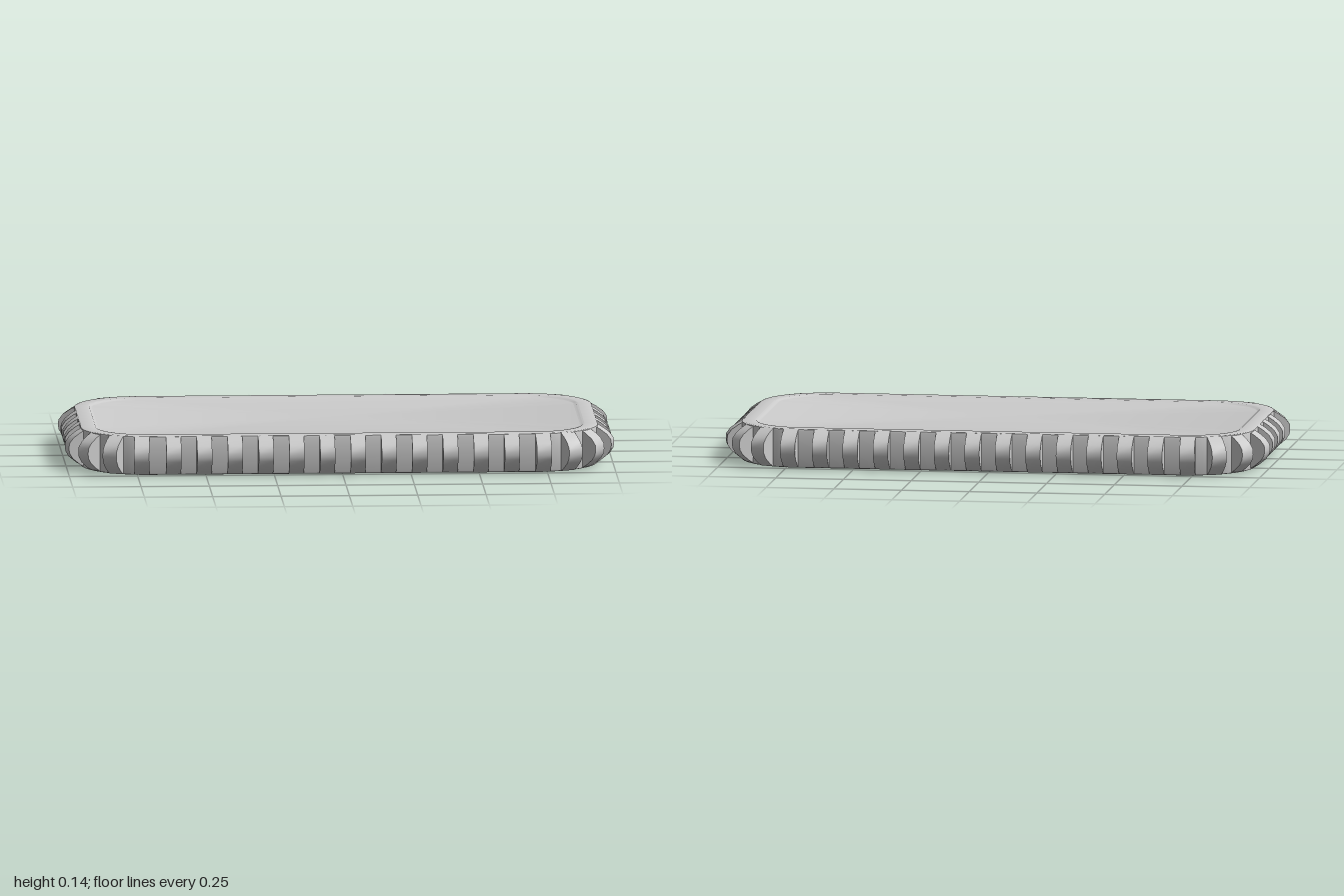
import * as THREE from 'three';
import { toCreasedNormals } from 'three/addons/utils/BufferGeometryUtils.js';

const HX = 0.947, HZ = 0.481, R = 0.24, H = 0.143;
const material = new THREE.MeshStandardMaterial({ color: 0xcccccc });

// Rounded rectangle in plan, shrunk evenly by inset
function outline(inset, steps = 14) {
  const points = [];
  const corners = [[1, 1], [-1, 1], [-1, -1], [1, -1]];
  corners.forEach(([sx, sz], c) => {
    for (let i = 0; i <= steps; i++) {
      const a = (c + i / steps) * Math.PI / 2;
      points.push([sx * (HX - R) + (R - inset) * Math.cos(a), sz * (HZ - R) + (R - inset) * Math.sin(a)]);
    }
  });
  return points;
}

// Skin over [inset, y] rings, closed by a centre point below and above
function plateGeometry(profile) {
  const rings = profile.map(([inset, y]) => outline(inset).map(([x, z]) => [x, y, z]));
  const n = rings[0].length, pos = [];
  const tri = (a, b, c) => pos.push(...a, ...b, ...c);
  const bottom = [0, profile[0][1], 0], top = [0, profile[profile.length - 1][1], 0];
  for (let i = 0; i < n; i++) {
    const j = (i + 1) % n;
    tri(bottom, rings[0][i], rings[0][j]);
    for (let k = 0; k < rings.length - 1; k++) {
      const lo = rings[k], hi = rings[k + 1];
      tri(lo[j], lo[i], hi[i]);
      tri(lo[j], hi[i], hi[j]);
    }
    const last = rings[rings.length - 1];
    tri(top, last[j], last[i]);
  }
  const geometry = new THREE.BufferGeometry();
  geometry.setAttribute('position', new THREE.Float32BufferAttribute(pos, 3));
  return toCreasedNormals(geometry, 0.6);
}

// Grip rib: bulging side profile, reaching `out` beyond the plate wall
function ribGeometry(out, width) {
  const s = new THREE.Shape();
  s.moveTo(-0.025, 0.004);
  s.lineTo(-0.004, 0.001);
  s.lineTo(out * 0.3, 0.014);
  s.lineTo(out * 0.75, 0.036);
  s.lineTo(out * 0.96, 0.056);
  s.lineTo(out, 0.072);
  s.lineTo(out * 0.97, 0.092);
  s.lineTo(out * 0.72, 0.112);
  s.lineTo(out * 0.3, 0.13);
  s.lineTo(-0.004, H - 0.001);
  s.lineTo(-0.025, H - 0.004);
  const g = new THREE.ExtrudeGeometry(s, { depth: width, bevelEnabled: false });
  g.translate(0, 0, -width / 2);
  return toCreasedNormals(g, 0.6);
}

export function createModel() {
  const group = new THREE.Group();

  // Plate with softened rims and a shallow recessed panel on both faces
  const half = [[0.066, 0.006], [0.061, 0.005], [0.056, 0.001], [0.05, 0], [0.008, 0], [0.002, 0.002], [0, 0.008]];
  const profile = [...half, ...half.map(([d, y]) => [d, H - y]).reverse()];
  const plate = new THREE.Mesh(plateGeometry(profile), material);
  plate.name = 'plate';
  group.add(plate);

  const ribs = new THREE.Group();
  ribs.name = 'gripRibs';
  group.add(ribs);
  const endRib = ribGeometry(0.053, 0.066);
  const sideRib = ribGeometry(0.06, 0.055);
  const addRib = (geometry, name, x, z, angle) => {
    const rib = new THREE.Mesh(geometry, material);
    rib.name = name;
    rib.position.set(x, 0, z);
    rib.rotation.y = -angle;
    ribs.add(rib);
  };

  // Ribs along the two short ends
  for (const sx of [1, -1])
    for (const z of [-0.13, 0, 0.13]) addRib(endRib, 'endRib', sx * HX, z, sx > 0 ? 0 : Math.PI);

  // Ribs along the two long sides
  for (const sz of [1, -1])
    for (let i = 0; i < 12; i++) addRib(sideRib, 'sideRib', (i - 5.5) * 0.1125, sz * HZ, sz * Math.PI / 2);

  // Ribs fanned around the four corners: foot x, z and heading in degrees
  const fan = [[0.94, 0.273, 13], [0.898, 0.381, 38], [0.827, 0.453, 64], [0.733, 0.479, 86]];
  for (const sx of [1, -1])
    for (const sz of [1, -1])
      for (const [x, z, deg] of fan) {
        const a = THREE.MathUtils.degToRad(deg);
        addRib(sideRib, 'cornerRib', sx * x, sz * z, Math.atan2(sz * Math.sin(a), sx * Math.cos(a)));
      }

  return group;
}
